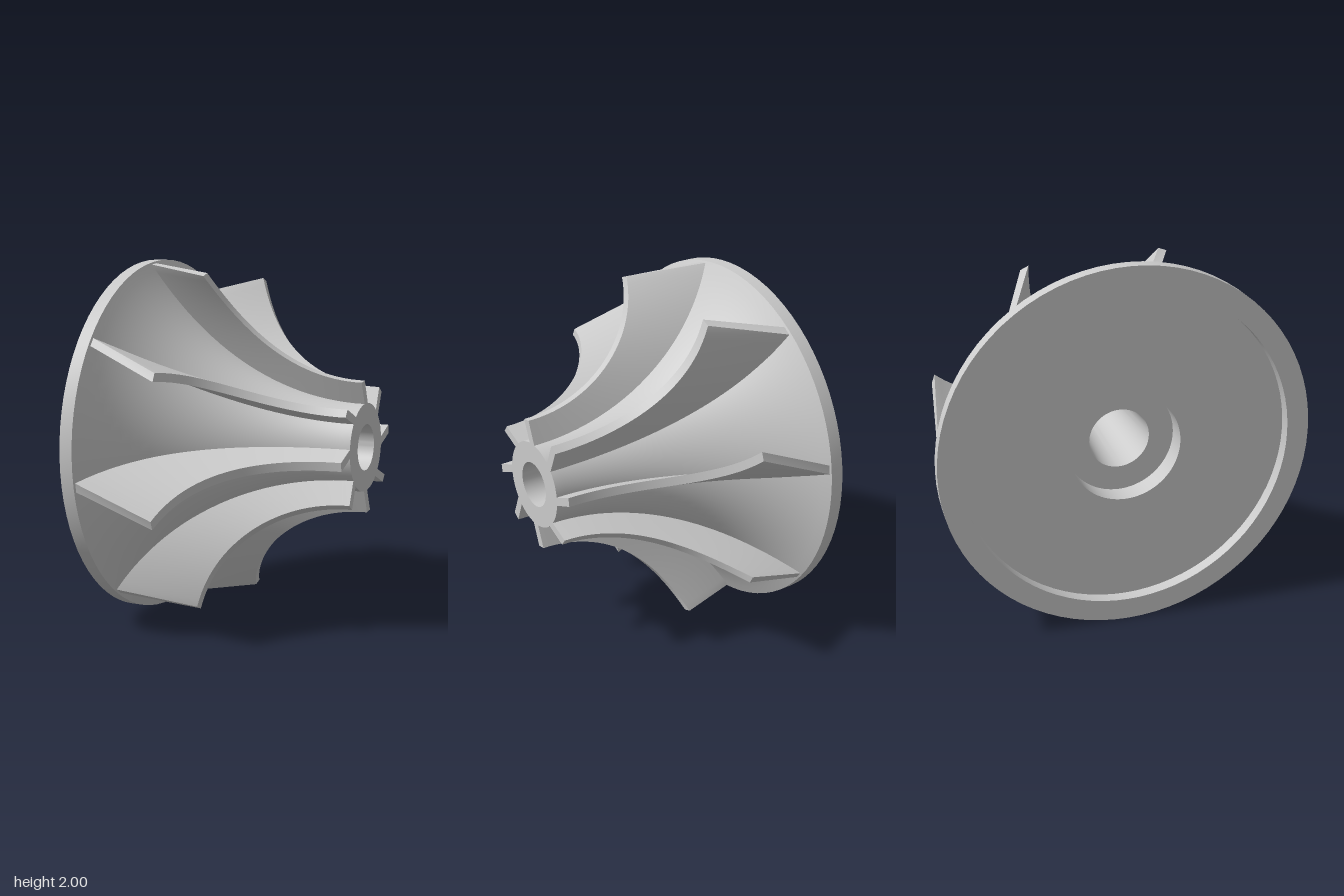
import * as THREE from 'three';
import { toCreasedNormals } from 'three/addons/utils/BufferGeometryUtils.js';

const BLADES = 8, STEPS = 28, HALF_THICK = 0.024;
const X_FRONT = 0.647, X_BACK = -0.647;
const rad = THREE.MathUtils.degToRad;
const material = new THREE.MeshStandardMaterial({ color: 0xcccccc });

// Concave arcs (axial position, radius) running from the nose back to the rim
const hubArc = { centre: 1.6, radius: 1.36, sweep: rad(63.8) };
const tipArc = { centre: 1.195, radius: 0.83, sweep: rad(74.9) };

function arcPoint(arc, t, sink = 0) {
  const a = arc.sweep * t, r = arc.radius + sink;
  return {
    x: X_FRONT - r * Math.sin(a),
    r: arc.centre - r * Math.cos(a),
    f: (1 - Math.cos(a)) / (1 - Math.cos(arc.sweep)), // 0 at nose, 1 at rim
  };
}

// Hub with rim disc, recessed back, counterbore and shaft hole
function hubGeometry() {
  const pts = [[0.88, X_BACK], [1, X_BACK]];
  for (let i = STEPS; i >= 0; i--) {
    const p = arcPoint(hubArc, i / STEPS);
    pts.push([p.r, p.x]);
  }
  pts.push([0.125, X_FRONT], [0.125, 0.2], [0.165, -0.46], [0.3, -0.46],
    [0.3, -0.58], [0.88, -0.58], [0.88, X_BACK]);
  const geo = new THREE.LatheGeometry(pts.map(([r, x]) => new THREE.Vector2(r, x)), 80);
  geo.rotateZ(-Math.PI / 2);
  return toCreasedNormals(geo, 0.5);
}

// Leaning, twisted blade: a four-cornered section swept from nose to rim
function bladeGeometry() {
  const pos = [], idx = [];
  const put = (p, phi, side) => {
    const s = side * HALF_THICK;
    pos.push(p.x, p.r * Math.sin(phi) + s * Math.cos(phi), -p.r * Math.cos(phi) + s * Math.sin(phi));
  };
  for (let i = 0; i <= STEPS; i++) {
    const t = i / STEPS;
    const base = arcPoint(hubArc, t, 0.02), tip = arcPoint(tipArc, t);
    const basePhi = rad(89 + 9.4 * base.f);
    const tipPhi = rad(98.5 + 10.9 * Math.pow(tip.f, 1.4));
    put(base, basePhi, -1);
    put(tip, tipPhi, -1);
    put(tip, tipPhi, 1);
    put(base, basePhi, 1);
    if (i === STEPS) break;
    const c = i * 4, d = c + 4;
    for (let k = 0; k < 4; k++) {
      const n = (k + 1) % 4;
      idx.push(c + n, c + k, d + k, c + n, d + k, d + n);
    }
  }
  const e = STEPS * 4;
  idx.push(0, 1, 2, 0, 2, 3, e, e + 2, e + 1, e, e + 3, e + 2);
  const geo = new THREE.BufferGeometry();
  geo.setAttribute('position', new THREE.Float32BufferAttribute(pos, 3));
  geo.setIndex(idx);
  return toCreasedNormals(geo, 0.6);
}

export function createModel() {
  const model = new THREE.Group();
  model.name = 'impeller';

  const hub = new THREE.Mesh(hubGeometry(), material);
  hub.name = 'hub';
  hub.position.y = 1;
  model.add(hub);

  // Blades spaced evenly around the shaft axis
  const blades = new THREE.Group();
  blades.name = 'blades';
  blades.position.y = 1;
  const geo = bladeGeometry();
  for (let i = 0; i < BLADES; i++) {
    const blade = new THREE.Mesh(geo, material);
    blade.name = 'blade' + (i + 1);
    blade.rotation.x = (i * 2 * Math.PI) / BLADES;
    blades.add(blade);
  }
  model.add(blades);
  return model;
}
